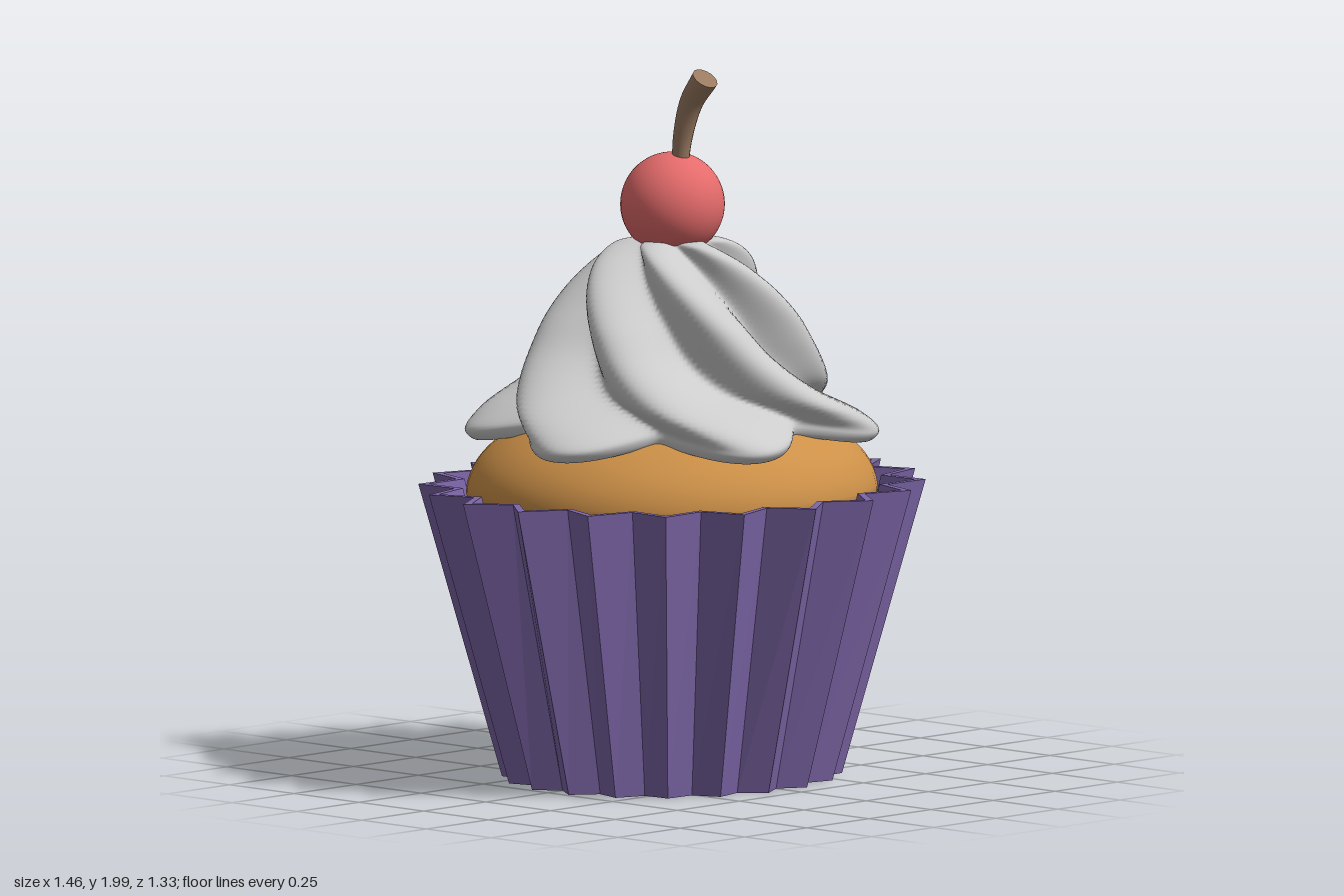
import * as THREE from 'three';

const material = (color, extra = {}) => new THREE.MeshStandardMaterial({ color, ...extra });

// Skin closed rings, listed from the bottom up the outside; point(row, angle, column) gives [x, y, z].
function loft(rows, columns, point) {
  const positions = [], index = [];
  for (let i = 0; i < rows; i++) {
    for (let j = 0; j < columns; j++) {
      positions.push(...point(i, (j / columns) * Math.PI * 2, j));
      if (i === rows - 1) continue;
      const a = i * columns + j, b = i * columns + ((j + 1) % columns);
      index.push(a, a + columns, b, b, a + columns, b + columns);
    }
  }
  const geometry = new THREE.BufferGeometry();
  geometry.setAttribute('position', new THREE.Float32BufferAttribute(positions, 3));
  geometry.setIndex(index);
  geometry.computeVertexNormals();
  return geometry;
}

// Pleated paper cup: floor, outer wall, rim, inner wall, inner floor
function wrapperGeometry() {
  // [pleat tip radius, pleat valley radius, height]
  const rings = [[0, 0, 0], [0.496, 0.44, 0], [0.74, 0.64, 0.825],
    [0.708, 0.615, 0.825], [0.465, 0.415, 0.03], [0, 0, 0.03]];
  const geometry = loft(rings.length, 40, (i, angle, j) => {
    const [tip, valley, y] = rings[i];
    const r = j % 2 ? tip : valley;
    return [r * Math.cos(angle), y, r * Math.sin(angle) * 0.913];
  }).toNonIndexed();
  geometry.computeVertexNormals();
  return geometry;
}

// Domed cake with sides tapering down into the cup
function cakeGeometry() {
  const points = [new THREE.Vector2(0, 0.04), new THREE.Vector2(0.39, 0.04)];
  for (let i = 0; i <= 24; i++) {
    const a = (i / 24) * Math.PI / 2;
    points.push(new THREE.Vector2(0.597 * Math.cos(a), 0.8 + 0.28 * Math.sin(a)));
  }
  return new THREE.LatheGeometry(points, 64).scale(1, 1, 0.925);
}

// Six-lobed swirl, twisting as it narrows
function frostingGeometry() {
  // [height, crest radius, valley radius], from the hidden underside to the top
  const profile = [[0.99, 0.3, 0.3], [0.95, 0.52, 0.4], [0.945, 0.57, 0.425], [0.97, 0.595, 0.435],
    [1.02, 0.565, 0.41], [1.1, 0.485, 0.34], [1.2, 0.415, 0.27], [1.3, 0.36, 0.23],
    [1.4, 0.29, 0.18], [1.47, 0.22, 0.13], [1.51, 0.14, 0.09], [1.5, 0, 0]];
  const curve = new THREE.CatmullRomCurve3(profile.map(p => new THREE.Vector3(...p)));
  const rows = 78, last = profile.length - 1;
  return loft(rows, 168, (i, angle) => {
    const t = (i / (rows - 1)) * last;
    const p = curve.getPoint(t / last);
    const lead = t < 3 ? 0.595 : Math.max(p.y, 0.16);
    const twist = THREE.MathUtils.degToRad(-10 + 256 * (0.595 - lead));
    const lobe = Math.pow(0.5 + 0.5 * Math.cos(6 * (angle - twist)), 0.75);
    const r = Math.max(0, p.z + (p.y - p.z) * lobe);
    // The lower edge lifts between the lobes
    const lift = 0.04 * (1 - lobe) * (1 - THREE.MathUtils.smoothstep(t, 3, 6));
    return [r * Math.cos(angle), p.x + lift, r * Math.sin(angle) * 0.95];
  });
}

// Curved stem that thickens toward its cut end
function createStem() {
  const stem = new THREE.Group();
  const path = new THREE.CatmullRomCurve3([[1.7, 0.03], [1.8, 0.042], [1.9, 0.075], [1.972, 0.128]]
    .map(([y, z]) => new THREE.Vector3(0, y, z)));
  const segments = 20, sides = 16;
  const tube = new THREE.TubeGeometry(path, segments, 1, sides);
  const pos = tube.attributes.position, v = new THREE.Vector3();
  for (let k = 0; k < pos.count; k++) {
    const u = Math.floor(k / (sides + 1)) / segments;
    const centre = path.getPointAt(u);
    v.fromBufferAttribute(pos, k).sub(centre).multiplyScalar(0.022 + 0.016 * u).add(centre);
    pos.setXYZ(k, v.x, v.y, v.z);
  }
  tube.computeVertexNormals();
  const brown = material(0x9a7b62);
  const shaft = new THREE.Mesh(tube, brown);
  shaft.name = 'stemShaft';
  const end = new THREE.Mesh(new THREE.CircleGeometry(0.038, sides), brown);
  end.name = 'stemEnd';
  end.position.copy(path.getPointAt(1));
  end.lookAt(end.position.clone().add(path.getTangentAt(1)));
  stem.add(shaft, end);
  stem.name = 'cherryStem';
  return stem;
}

export function createModel() {
  const model = new THREE.Group();
  model.name = 'cupcake';
  const add = (name, geometry, mat) => {
    const mesh = new THREE.Mesh(geometry, mat);
    mesh.name = name;
    model.add(mesh);
    return mesh;
  };
  add('wrapper', wrapperGeometry(), material(0x7d66a8, { flatShading: true }));
  add('cake', cakeGeometry(), material(0xcc9048));
  add('frosting', frostingGeometry(), material(0xcccccc));
  add('cherry', new THREE.SphereGeometry(0.146, 40, 28), material(0xe56b6b)).position.set(0, 1.607, 0.002);
  model.add(createStem());
  return model;
}
